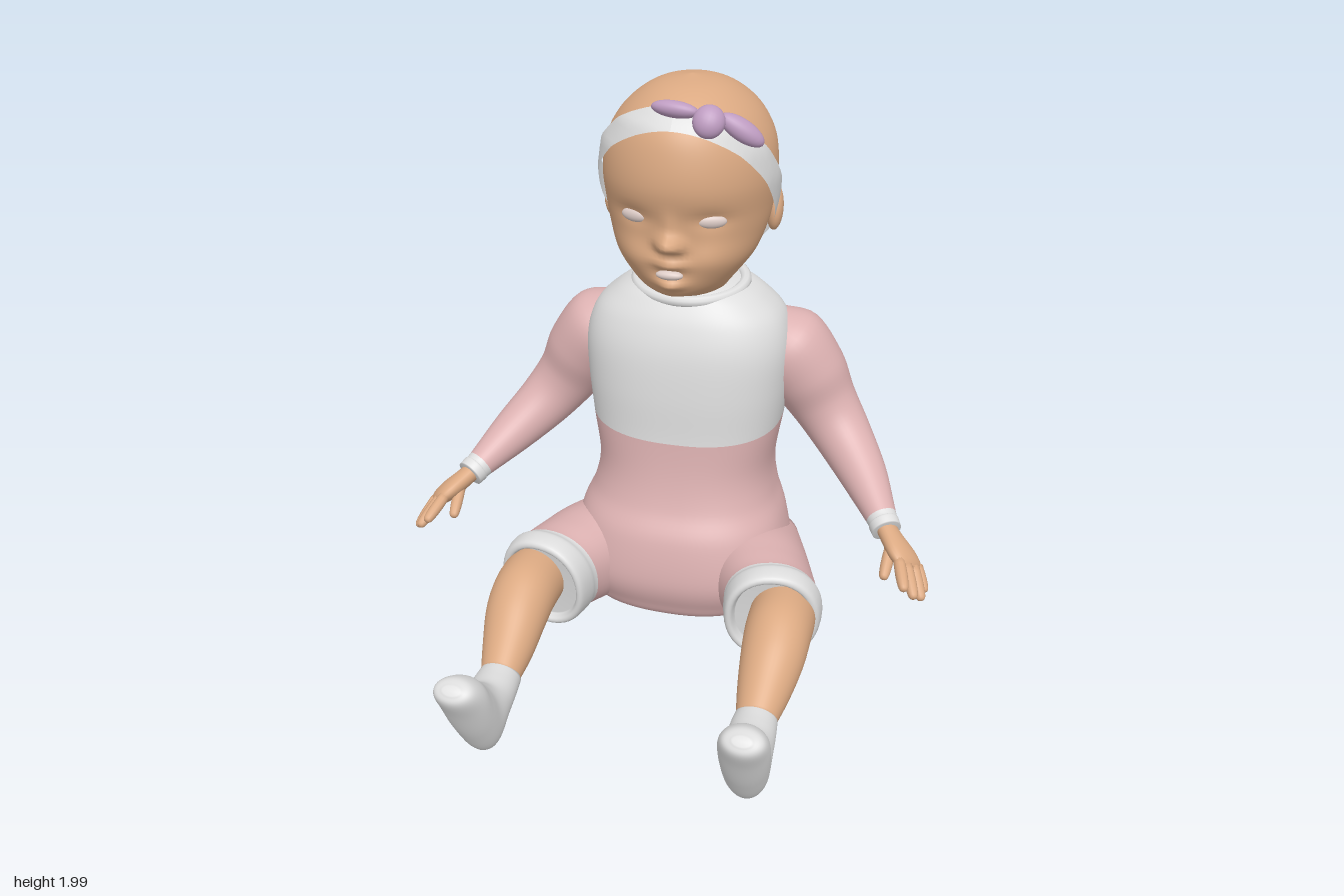
import * as THREE from 'three';

const mat = (name, color, extra = {}) => new THREE.MeshStandardMaterial({ name, color, ...extra });
const V = (x, y, z) => new THREE.Vector3(x, y, z);

// Smooth loft through rings {c, u, v}; cut = ring index where the second material starts
function loft(rings, { n = 2, K = 6, cols = 40, cut = 0 } = {}) {
  const curve = k => new THREE.CatmullRomCurve3(rings.map(r => r[k]), false, 'catmullrom');
  const [C, U, W] = ['c', 'u', 'v'].map(curve);
  const rows = (rings.length - 1) * K + 1, pos = [], idx = [];
  const pw = t => Math.sign(t) * Math.abs(t) ** (2 / n);
  for (let j = 0; j < rows; j++) {
    const t = j / (rows - 1), c = C.getPoint(t), u = U.getPoint(t), v = W.getPoint(t);
    for (let i = 0; i < cols; i++) {
      const a = (i / cols) * Math.PI * 2;
      const p = c.clone().addScaledVector(u, pw(Math.cos(a))).addScaledVector(v, pw(Math.sin(a)));
      pos.push(p.x, p.y, p.z);
    }
  }
  const first = rings[0].c, last = rings[rings.length - 1].c;
  pos.push(first.x, first.y, first.z, last.x, last.y, last.z);
  const dir = C.getPoint(0.52).sub(C.getPoint(0.48));
  const flip = U.getPoint(0.5).cross(W.getPoint(0.5)).dot(dir) < 0;
  const tri = (a, b, c) => (flip ? idx.push(a, c, b) : idx.push(a, b, c));
  for (let i = 0; i < cols; i++) tri(rows * cols, (i + 1) % cols, i);
  for (let j = 0; j < rows - 1; j++) for (let i = 0; i < cols; i++) {
    const a = j * cols + i, b = j * cols + (i + 1) % cols;
    tri(a, b, a + cols);
    tri(b, b + cols, a + cols);
  }
  for (let i = 0; i < cols; i++) tri(rows * cols + 1, (rows - 1) * cols + i, (rows - 1) * cols + (i + 1) % cols);
  const g = new THREE.BufferGeometry();
  g.setAttribute('position', new THREE.Float32BufferAttribute(pos, 3));
  g.setIndex(idx);
  if (cut) {
    const at = cols * 3 + cut * K * cols * 6;
    g.addGroup(0, at, 0);
    g.addGroup(at, idx.length - at, 1);
  }
  g.computeVertexNormals();
  return g;
}

// Ring from two opposite points in the side plane, centre x and half width
const ring = ([za, ya, zb, yb, x = 0, rx], s = 1, yaw = 0) => ({
  c: V(s * x, (ya + yb) / 2, (za + zb) / 2),
  u: V(0, (ya - yb) / 2, (za - zb) / 2),
  v: V(s * rx, 0, -yaw * rx),
});
const level = ([y, zf, zb, rx, tilt = 0]) => ring([zf, y - tilt, zb, y + tilt, 0, rx]);

// Round rings along a path of [x, y, z, radius]
function pathRings(pts, s) {
  const P = pts.map(p => V(s * p[0], p[1], p[2]));
  return P.map((c, i) => {
    const t = P[Math.min(i + 1, P.length - 1)].clone().sub(P[Math.max(i - 1, 0)]).normalize();
    const u = t.clone().cross(V(0, 1, 1)).normalize(), v = t.clone().cross(u);
    return { c, u: u.multiplyScalar(pts[i][3]), v: v.multiplyScalar(pts[i][3]) };
  });
}

// Head outline: height, front z, back z, half width
const HEAD = [
  [1.26, -0.36, -0.6, 0.13], [1.31, -0.3, -0.6, 0.135], [1.34, -0.225, -0.61, 0.15], [1.38, -0.19, -0.63, 0.18],
  [1.45, -0.18, -0.655, 0.23], [1.53, -0.18, -0.7, 0.26], [1.6, -0.168, -0.73, 0.274], [1.7, -0.145, -0.75, 0.283],
  [1.8, -0.155, -0.755, 0.272], [1.88, -0.185, -0.73, 0.232], [1.94, -0.245, -0.665, 0.172], [1.98, -0.33, -0.57, 0.1],
  [2.0, -0.448, -0.452, 0.002],
];
// Face relief: x, y, height, spread x, spread y
const RELIEF = [
  [0, 1.53, 0.062, 0.033, 0.03], [0.03, 1.52, 0.02, 0.02, 0.02], [-0.03, 1.52, 0.02, 0.02, 0.02],
  [0, 1.585, 0.012, 0.025, 0.04], [0, 1.462, 0.034, 0.05, 0.02], [0, 1.388, 0.032, 0.045, 0.02],
  [0, 1.335, 0.02, 0.06, 0.03], [0.125, 1.605, -0.014, 0.06, 0.03], [-0.125, 1.605, -0.014, 0.06, 0.03],
  [0.13, 1.47, 0.018, 0.07, 0.06], [-0.13, 1.47, 0.018, 0.07, 0.06],
];

function headGeometry() {
  const g = loft(HEAD.map(level), { cols: 96 }), p = g.attributes.position;
  for (let i = 0; i < p.count; i++) {
    const x = p.getX(i), y = p.getY(i), z = p.getZ(i);
    if (z < -0.42) continue;
    let d = 0;
    for (const [bx, by, h, sx, sy] of RELIEF) d += h * Math.exp(-(((x - bx) / sx) ** 2) - ((y - by) / sy) ** 2);
    p.setZ(i, z + d);
  }
  g.computeVertexNormals();
  return g;
}

function insideHead(p) {
  const k = HEAD.findIndex(r => r[0] > p.y);
  if (k < 1) return false;
  const a = HEAD[k - 1], b = HEAD[k], t = (p.y - a[0]) / (b[0] - a[0]);
  const [zf, zb, rx] = [1, 2, 3].map(i => a[i] + (b[i] - a[i]) * t);
  return (p.x / rx) ** 2 + ((p.z - (zf + zb) / 2) / ((zf - zb) / 2)) ** 2 < 1;
}

// Tilted band that follows the head surface
function bandGeometry() {
  const along = V(0, 0.778, 0.629), across = V(0, 0.629, -0.778), pos = [], idx = [], N = 72, M = 4;
  for (let i = 0; i <= N; i++) for (let j = 0; j <= M; j++) {
    const a = (i / N) * Math.PI * 2;
    const d = along.clone().multiplyScalar(Math.cos(a)).add(V(Math.sin(a), 0, 0));
    const p = V(0, 1.645, -0.425).addScaledVector(across, (j / M - 0.5) * 0.088);
    for (let k = 0; k < 400 && insideHead(p); k++) p.addScaledVector(d, 0.001);
    p.addScaledVector(d, 0.017);
    pos.push(p.x, p.y, p.z);
    if (i < N && j < M) {
      const q = i * (M + 1) + j;
      idx.push(q, q + 1, q + M + 1, q + 1, q + M + 2, q + M + 1);
    }
  }
  const g = new THREE.BufferGeometry();
  g.setAttribute('position', new THREE.Float32BufferAttribute(pos, 3));
  g.setIndex(idx);
  g.computeVertexNormals();
  return g;
}

export function createModel() {
  const skin = mat('skin', 0xdba982), pink = mat('pink fabric', 0xdcb1b1), white = mat('white fabric', 0xdedede);
  const bandMat = mat('band white', 0xdedede, { side: THREE.DoubleSide });
  const purple = mat('bow purple', 0xbd9bc0), pale = mat('eye and mouth pale', 0xdccbc6);
  const model = new THREE.Group();
  const add = (name, geo, m) => {
    const mesh = new THREE.Mesh(geo, m);
    mesh.name = name;
    model.add(mesh);
    return mesh;
  };
  const blob = (name, m, p, size, rot = [0, 0, 0]) => {
    const b = add(name, new THREE.SphereGeometry(1, 24, 16), m);
    b.position.set(...p);
    b.scale.set(...size);
    b.rotation.set(...rot);
  };

  // Torso: pink below, white bib above
  add('torso', loft([
    [0.112, -0.35, -0.42, 0.04], [0.135, -0.16, -0.56, 0.28], [0.2, -0.11, -0.64, 0.36], [0.3, -0.085, -0.69, 0.395],
    [0.45, -0.11, -0.715, 0.365], [0.55, -0.16, -0.725, 0.325], [0.66, -0.19, -0.735, 0.31], [0.83, -0.205, -0.745, 0.335, 0.035],
    [0.97, -0.21, -0.745, 0.352, 0.015], [1.1, -0.225, -0.725, 0.355], [1.2, -0.255, -0.7, 0.325], [1.265, -0.29, -0.67, 0.26],
    [1.3, -0.32, -0.65, 0.2], [1.32, -0.36, -0.62, 0.14],
  ].map(level), { n: 2.4, cols: 64, cut: 7 }), [pink, white]);

  // Collar
  const collar = [];
  for (let i = 0; i < 24; i++) {
    const a = (i / 24) * Math.PI * 2, f = Math.cos(a);
    collar.push(V(0.185 * Math.sin(a), 1.3 - 0.018 * f, -0.475 + 0.17 * f));
  }
  add('collar', new THREE.TubeGeometry(new THREE.CatmullRomCurve3(collar, true), 64, 0.02, 10, true), white);

  // Head, face and headband
  add('head', headGeometry(), skin);
  add('headband', bandGeometry(), bandMat);
  blob('mouth', pale, [0, 1.425, -0.172], [0.045, 0.016, 0.02]);
  blob('bowKnot', purple, [0.115, 1.922, -0.19], [0.05, 0.052, 0.035], [-0.5, 0.2, -0.2]);
  blob('bowLoopRight', purple, [0.005, 1.948, -0.207], [0.075, 0.026, 0.03], [-0.5, 0, -0.08]);
  blob('bowLoopLeft', purple, [0.208, 1.892, -0.232], [0.08, 0.034, 0.03], [-0.5, 0.45, -0.42]);

  for (const s of [1, -1]) {
    const side = s > 0 ? 'left' : 'right';
    blob(side + 'Eye', pale, [s * 0.125, 1.6, -0.214], [0.048, 0.022, 0.016], [0, s * 0.35, 0]);
    blob(side + 'Ear', skin, [s * 0.272, 1.565, -0.5], [0.028, 0.075, 0.048], [-0.2, s * 0.3, 0]);

    // Sleeve with white cuff
    add(side + 'Sleeve', loft(pathRings([
      [0.25, 1.09, -0.53, 0.12], [0.33, 1.055, -0.535, 0.148], [0.405, 0.96, -0.54, 0.138], [0.47, 0.85, -0.54, 0.116],
      [0.55, 0.75, -0.495, 0.1], [0.64, 0.663, -0.39, 0.08], [0.72, 0.59, -0.258, 0.052], [0.732, 0.58, -0.235, 0.052],
      [0.745, 0.568, -0.212, 0.05],
    ], s), { cut: 6 }), [pink, white]);

    // Hand: palm, four fingers, thumb
    const palm = (x, y, z, w, h) => ({
      c: V(s * x, y, z), u: V(s * 0.57, -0.48, -0.67).multiplyScalar(w), v: V(s * 0.5, 0.85, -0.15).multiplyScalar(h),
    });
    add(side + 'Palm', loft([
      palm(0.725, 0.585, -0.245, 0.036, 0.032), palm(0.765, 0.555, -0.19, 0.045, 0.034),
      palm(0.805, 0.525, -0.15, 0.062, 0.034), palm(0.832, 0.505, -0.125, 0.06, 0.026), palm(0.845, 0.495, -0.11, 0.035, 0.012),
    ], { cols: 24 }), skin);
    [
      [[0.80, 0.53, -0.105], [0.832, 0.48, 0.0]], [[0.826, 0.51, -0.11], [0.865, 0.447, -0.012]],
      [[0.848, 0.495, -0.13], [0.888, 0.42, -0.048]], [[0.858, 0.48, -0.16], [0.893, 0.418, -0.1]],
      [[0.765, 0.535, -0.165], [0.757, 0.47, -0.065]],
    ].forEach(([a, b], i) => {
      const pts = [[0, 0.019], [0.5, 0.02], [0.85, 0.017], [0.97, 0.011], [1, 0.002]]
        .map(([t, r]) => [0, 1, 2].map(k => a[k] + (b[k] - a[k]) * t).concat(r));
      add(side + (i < 4 ? 'Finger' + (i + 1) : 'Thumb'), loft(pathRings(pts, s), { K: 3, cols: 12 }), skin);
    });

    // Trouser leg with rolled white cuff
    add(side + 'TrouserLeg', loft([
      [-0.52, 0.4, -0.52, 0.15, 0.22, 0.18], [-0.3, 0.46, -0.32, 0.118, 0.285, 0.185], [-0.16, 0.468, -0.2, 0.12, 0.345, 0.17],
      [-0.07, 0.47, -0.12, 0.125, 0.385, 0.16], [-0.03, 0.484, -0.08, 0.12, 0.397, 0.165], [0.025, 0.478, -0.01, 0.128, 0.405, 0.156],
      [0.033, 0.455, 0.0, 0.15, 0.405, 0.135], [0.0, 0.44, -0.03, 0.16, 0.405, 0.125],
    ].map(r => ring(r, s, 0.2)), { n: 2.15, cut: 3 }), [pink, white]);

    // Bare lower leg
    add(side + 'Leg', loft([
      [-0.1, 0.41, -0.1, 0.2, 0.43, 0.1], [0.0, 0.425, -0.02, 0.195, 0.44, 0.11], [0.11, 0.42, 0.08, 0.195, 0.442, 0.11],
      [0.21, 0.375, 0.17, 0.172, 0.442, 0.104], [0.31, 0.302, 0.27, 0.137, 0.436, 0.087], [0.41, 0.23, 0.38, 0.118, 0.43, 0.063],
    ].map(r => ring(r, s))), skin);

    // Sock with upturned foot
    add(side + 'Sock', loft([
      [0.39, 0.238, 0.36, 0.112, 0.43, 0.069], [0.45, 0.24, 0.42, 0.1, 0.43, 0.075], [0.51, 0.25, 0.485, 0.06, 0.432, 0.076],
      [0.555, 0.285, 0.56, 0.01, 0.435, 0.076], [0.59, 0.32, 0.64, 0.12, 0.44, 0.08], [0.625, 0.36, 0.705, 0.25, 0.445, 0.08],
      [0.675, 0.388, 0.745, 0.33, 0.45, 0.065], [0.715, 0.385, 0.738, 0.365, 0.45, 0.028],
    ].map(r => ring(r, s))), white);
  }
  return model;
}
